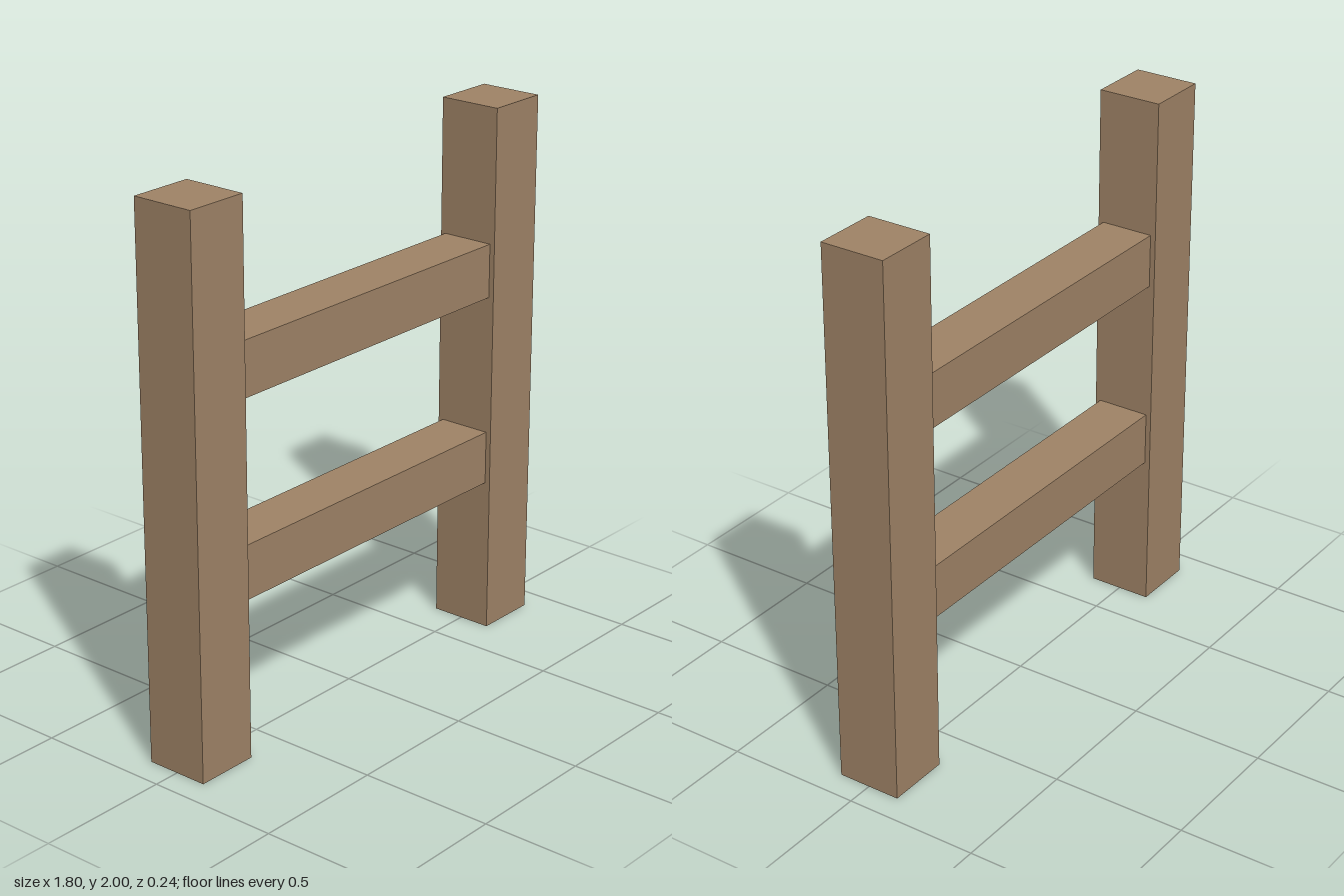
import * as THREE from 'three';

const POST = { x: 0.78, width: 0.24, height: 2 };
const RAIL = { thickness: 0.2, heights: { lowerRail: 0.68, upperRail: 1.4 } };

export function createModel() {
  const model = new THREE.Group();
  model.name = 'fence';
  const wood = new THREE.MeshStandardMaterial({ color: 0xa08467, flatShading: true });

  const addBeam = (name, size, position) => {
    const beam = new THREE.Mesh(new THREE.BoxGeometry(...size), wood);
    beam.name = name;
    beam.position.set(...position);
    model.add(beam);
  };

  // Square upright posts
  for (const [name, side] of [['leftPost', 1], ['rightPost', -1]]) {
    addBeam(name, [POST.width, POST.height, POST.width], [side * POST.x, POST.height / 2, 0]);
  }

  // Rails spanning between the inner faces of the posts
  const span = 2 * POST.x - POST.width;
  for (const [name, y] of Object.entries(RAIL.heights)) {
    addBeam(name, [span, RAIL.thickness, RAIL.thickness], [0, y, 0]);
  }

  return model;
}
